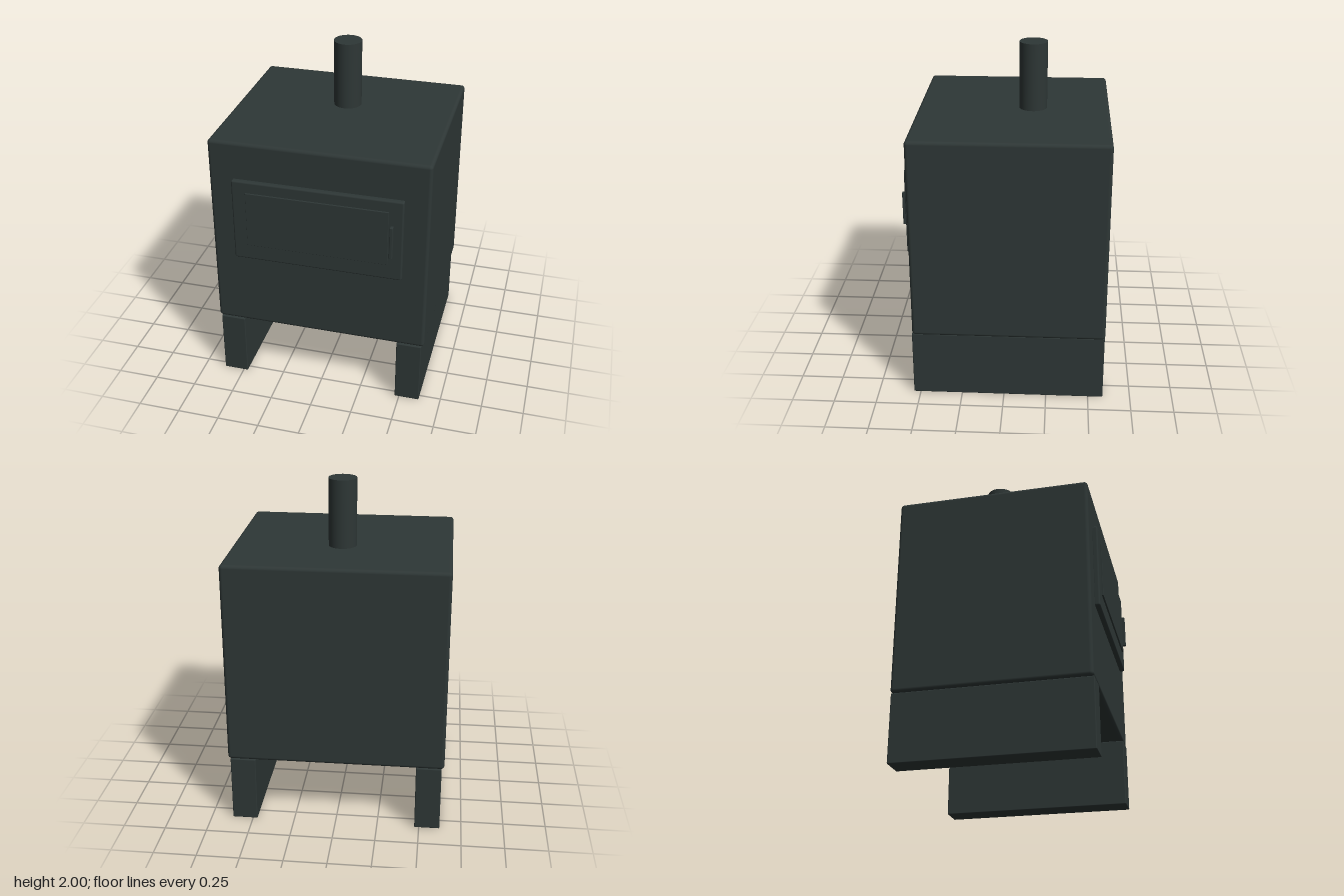
import * as THREE from 'three';
import { RoundedBoxGeometry } from 'three/addons/geometries/RoundedBoxGeometry.js';

export function createModel() {
  const stove = new THREE.Group();
  stove.name = 'stove';

  const castIron = new THREE.MeshStandardMaterial({ color: 0x2e3736 });
  castIron.name = 'cast iron';

  // Rounded box given by its lower and upper limits on each axis
  const addBox = (name, [x0, x1], [y0, y1], [z0, z1], radius) => {
    const geometry = new RoundedBoxGeometry(x1 - x0, y1 - y0, z1 - z0, 3, radius);
    const mesh = new THREE.Mesh(geometry, castIron);
    mesh.name = name;
    mesh.position.set((x0 + x1) / 2, (y0 + y1) / 2, (z0 + z1) / 2);
    stove.add(mesh);
  };

  // Firebox
  addBox('body', [-0.637, 0.637], [0.4, 1.602], [-0.59, 0.537], 0.02);

  // Full-depth plinth legs
  addBox('leftLeg', [0.473, 0.622], [0, 0.4], [-0.588, 0.54], 0.005);
  addBox('rightLeg', [-0.622, -0.473], [0, 0.4], [-0.588, 0.54], 0.005);

  // Door with its raised panel and handle
  addBox('door', [-0.498, 0.495], [0.87, 1.378], [0.53, 0.566], 0.01);
  addBox('doorPanel', [-0.414, 0.412], [0.97, 1.31], [0.55, 0.575], 0.002);
  addBox('doorHandle', [0.422, 0.441], [1.022, 1.222], [0.55, 0.59], 0.004);

  // Flue pipe
  const flue = new THREE.Mesh(new THREE.CylinderGeometry(0.082, 0.082, 0.42, 48), castIron);
  flue.name = 'fluePipe';
  flue.position.set(0, 1.79, -0.14);
  stove.add(flue);

  return stove;
}
